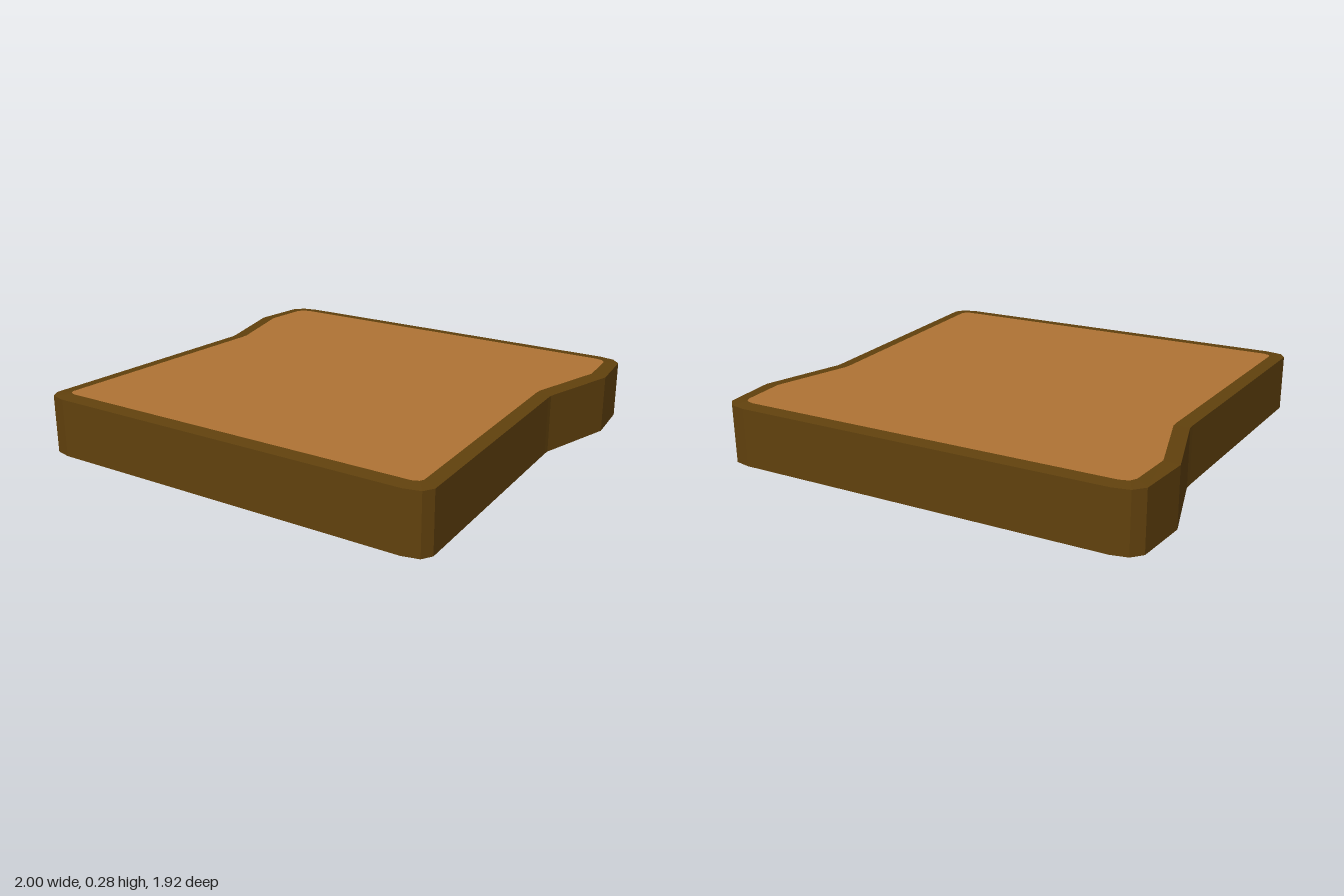
import * as THREE from 'three';

// half outlines [x, z], from back to front; mirrored across x
const outerHalf = [[-0.857, -0.96], [-0.93, -0.945], [-0.972, -0.9], [-1, -0.65], [-0.895, -0.265], [-0.895, -0.235], [-0.957, 0.895], [-0.93, 0.94], [-0.857, 0.957]];
const innerHalf = [[-0.857, -0.897], [-0.897, -0.886], [-0.914, -0.857], [-0.932, -0.652], [-0.831, -0.285], [-0.831, -0.245], [-0.893, 0.86], [-0.884, 0.879], [-0.857, 0.89]];

const mirrored = (half) => [...half, ...half.map(([x, z]) => [-x, z]).reverse()];

// joins rings of equal point counts, each given as { outline, y }, with flat faces
function skin(rings) {
  const pos = [];
  for (let r = 0; r < rings.length - 1; r++) {
    const lo = rings[r], hi = rings[r + 1], n = lo.outline.length;
    const at = (ring, i) => [ring.outline[i % n][0], ring.y, ring.outline[i % n][1]];
    for (let i = 0; i < n; i++) {
      const a = at(lo, i), b = at(lo, i + 1), c = at(hi, i + 1), d = at(hi, i);
      pos.push(...a, ...b, ...c, ...a, ...c, ...d);
    }
  }
  const geo = new THREE.BufferGeometry();
  geo.setAttribute('position', new THREE.Float32BufferAttribute(pos, 3));
  geo.computeVertexNormals();
  return geo;
}

// flat cap facing up (dir 1) or down (dir -1)
function cap(outline, y, dir) {
  const shape = new THREE.Shape(outline.map(([x, z]) => new THREE.Vector2(x, -dir * z)));
  return new THREE.ShapeGeometry(shape).rotateX(-dir * Math.PI / 2).translate(0, y, 0);
}

export function createModel() {
  const crustBrown = new THREE.MeshStandardMaterial({ color: 0x61410d });
  crustBrown.name = 'crustBrown';
  const crumbTan = new THREE.MeshStandardMaterial({ color: 0xaf7335 });
  crumbTan.name = 'crumbTan';

  const group = new THREE.Group();
  group.name = 'breadSlice';
  const add = (name, geo, mat) => {
    const mesh = new THREE.Mesh(geo, mat);
    mesh.name = name;
    group.add(mesh);
  };

  const outer = mirrored(outerHalf), inner = mirrored(innerHalf);
  const height = 0.276, slope = 0.006;

  // crust: side wall with gently sloping rims
  add('crust', skin([
    { outline: inner, y: 0 },
    { outline: outer, y: slope },
    { outline: outer, y: height - slope },
    { outline: inner, y: height },
  ]), crustBrown);

  // crumb faces
  add('crumbTop', cap(inner, height, 1), crumbTan);
  add('crumbBottom', cap(inner, 0, -1), crumbTan);
  return group;
}
